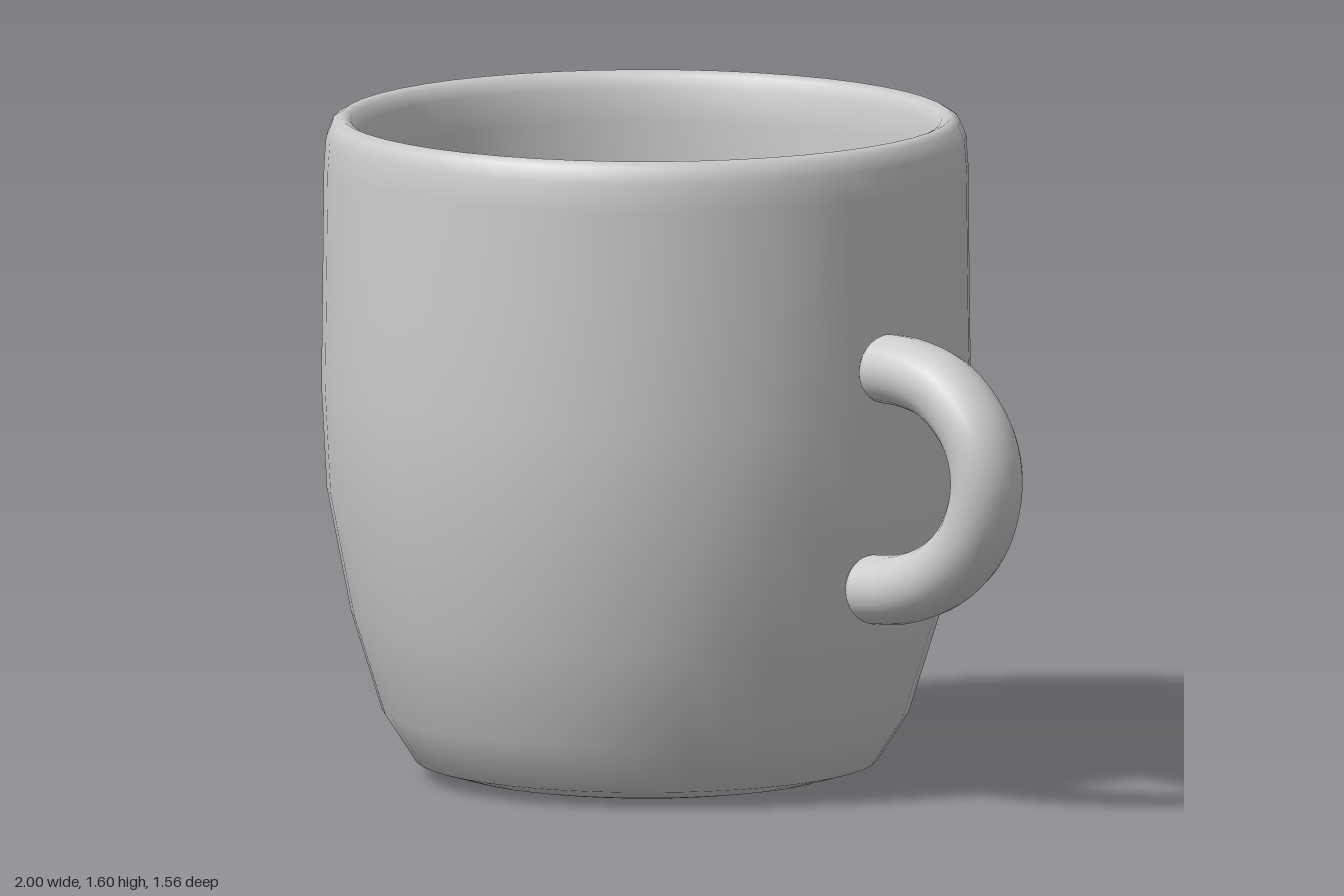
import * as THREE from 'three';

const material = new THREE.MeshStandardMaterial({ color: 0xcccccc });
const points = (list) => list.map(([r, y]) => new THREE.Vector2(r, y));

// Cup wall and floor: one closed profile, from the foot up over the rim and down inside
function createCup() {
  const profile = points([
    [0, 0], [0.42, 0.005], [0.46, 0.012], [0.556, 0.04], [0.634, 0.16], [0.709, 0.4],
    [0.767, 0.7], [0.78, 0.95], [0.777, 1.2], [0.774, 1.48], [0.769, 1.55], [0.754, 1.587],
    [0.732, 1.6], [0.71, 1.59], [0.694, 1.56], [0.682, 1.48], [0.68, 1.2], [0.68, 0.95],
    [0.665, 0.7], [0.608, 0.4], [0.545, 0.2], [0.5, 0.13], [0.42, 0.115], [0, 0.11],
  ]);
  const cup = new THREE.Mesh(new THREE.LatheGeometry(profile, 48), material);
  cup.name = 'cup';
  cup.position.x = -0.22;
  return cup;
}

// Handle: round tube with softly rounded ends that meet the cup wall
function createHandle() {
  const radius = 0.084;
  const path = new THREE.CatmullRomCurve3([
    [0.59, 1.071], [0.66, 1.068], [0.78, 1.035], [0.885, 0.935], [0.914, 0.82],
    [0.87, 0.685], [0.77, 0.592], [0.64, 0.541], [0.545, 0.53],
  ].map(([x, y]) => new THREE.Vector3(x, y, 0)));
  const handle = new THREE.Group();
  handle.name = 'handle';
  const grip = new THREE.Mesh(new THREE.TubeGeometry(path, 48, radius, 20), material);
  grip.name = 'grip';
  handle.add(grip);

  // Flattened domes closing both ends
  for (const [name, t] of [['upperEnd', 0], ['lowerEnd', 1]]) {
    const end = new THREE.Mesh(new THREE.SphereGeometry(radius, 20, 14), material);
    end.name = name;
    end.position.copy(path.getPoint(t));
    const tangent = path.getTangent(t);
    end.rotation.z = Math.atan2(tangent.y, tangent.x);
    end.scale.x = 0.58;
    handle.add(end);
  }
  handle.scale.z = 1.09;
  handle.position.z = 0.007;
  return handle;
}

export function createModel() {
  const mug = new THREE.Group();
  mug.name = 'mug';
  mug.add(createCup(), createHandle());
  return mug;
}
